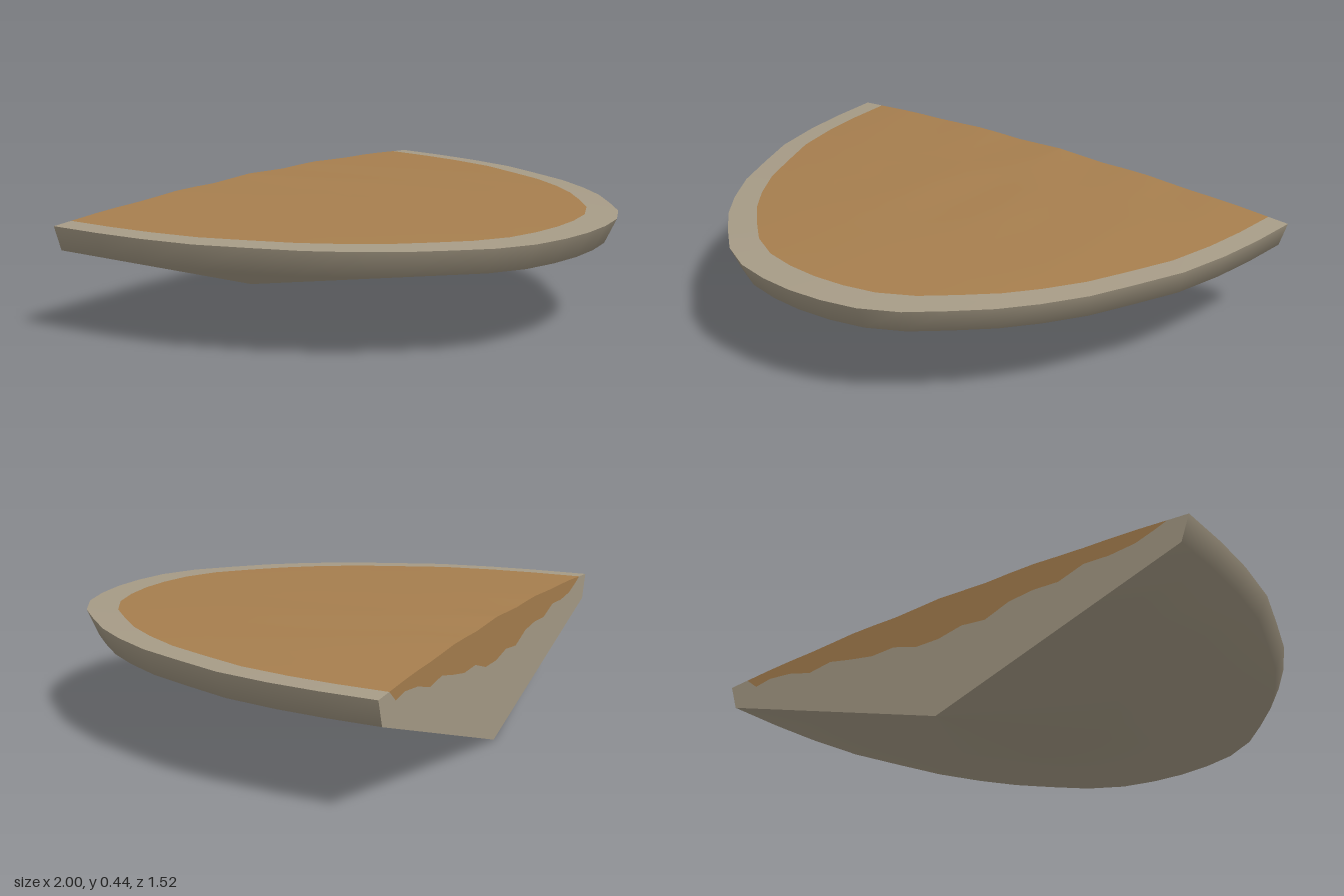
import * as THREE from 'three';

const BACK = -0.76;

// Right half of the ledge outline seen from above, back corner to front tip
const half = [
  [1, BACK], [0.99, -0.56], [0.97, -0.38], [0.93, -0.18], [0.86, 0], [0.79, 0.17], [0.7, 0.32],
  [0.61, 0.44], [0.5, 0.55], [0.39, 0.65], [0.26, 0.72], [0.13, 0.75], [0, 0.76],
];
const outline = [...half, ...half.slice(0, -1).reverse().map(([x, z]) => [-x, z])];

// Gently domed, slightly lumpy ground height; t runs from 0 (back centre) to 1 (rim)
const ground = (t, x, z) =>
  0.4 + 0.036 * (1 - t * t) + 0.004 * (1 - t) * Math.cos(16 * x) * Math.cos(5 * (z - BACK));

// Outline shrunk towards the back centre, at a height given by a number or a rule
function ring(t, height) {
  return outline.map(([ox, oz]) => {
    const x = ox * t, z = BACK + (oz - BACK) * t;
    return [x, typeof height === 'number' ? height : height(t, x, z), z];
  });
}

// Smooth skin through successive rows of points
function loft(name, rows, material) {
  const n = rows[0].length, index = [];
  for (let r = 0; r < rows.length - 1; r++) {
    for (let i = 0; i < n - 1; i++) {
      const a = r * n + i, b = a + n;
      index.push(a, a + 1, b + 1, a, b + 1, b);
    }
  }
  const geometry = new THREE.BufferGeometry();
  geometry.setAttribute('position', new THREE.Float32BufferAttribute(rows.flat(2), 3));
  geometry.setIndex(index);
  geometry.computeVertexNormals();
  const mesh = new THREE.Mesh(geometry, material);
  mesh.name = name;
  return mesh;
}

export function createModel() {
  const earth = new THREE.MeshStandardMaterial({ color: 0xa67e4e });
  earth.name = 'brown earth';
  const stone = new THREE.MeshStandardMaterial({ color: 0xa69b86 });
  stone.name = 'grey stone';

  const group = new THREE.Group();
  group.name = 'rockLedge';

  // Ground on top and the stone border around it
  const steps = [0, 0.1, 0.2, 0.3, 0.4, 0.5, 0.6, 0.7, 0.8, 0.87, 0.92];
  group.add(loft('topGround', steps.map((t) => ring(t, ground)), earth));
  group.add(loft('stoneRim', [ring(0.92, ground), ring(1, ground)], stone));

  // Short outer band, then the underside tapering to a point at the back
  const under = [0.97, 0.5, 0].map((t) => ring(t, (0.31 * t) / 0.97));
  group.add(loft('underside', [ring(1, 0.4), ...under], stone));

  // Flat back wall: a wavy layer of earth above stone
  const side = [...steps, 0.97, 1];
  const xs = [...side.slice(1).reverse().map((x) => -x), ...side];
  const top = xs.map((x) => [x, ground(Math.abs(x), x, BACK), BACK]);
  const seam = top.map(([x, y]) => {
    const fade = Math.max(0, 1 - Math.abs(x) / 0.92);
    const depth = fade > 0 ? 0.025 + 0.13 * fade + 0.012 * Math.sin(23 * x) : 0;
    return [x, y - depth, BACK];
  });
  const bottom = xs.map((x) => {
    const t = Math.abs(x);
    return [x, t <= 0.97 ? (0.31 * t) / 0.97 : 0.31 + 3 * (t - 0.97), BACK];
  });
  group.add(loft('backEarthLayer', [top, seam], earth));
  group.add(loft('backStoneWall', [seam, bottom], stone));

  return group;
}
